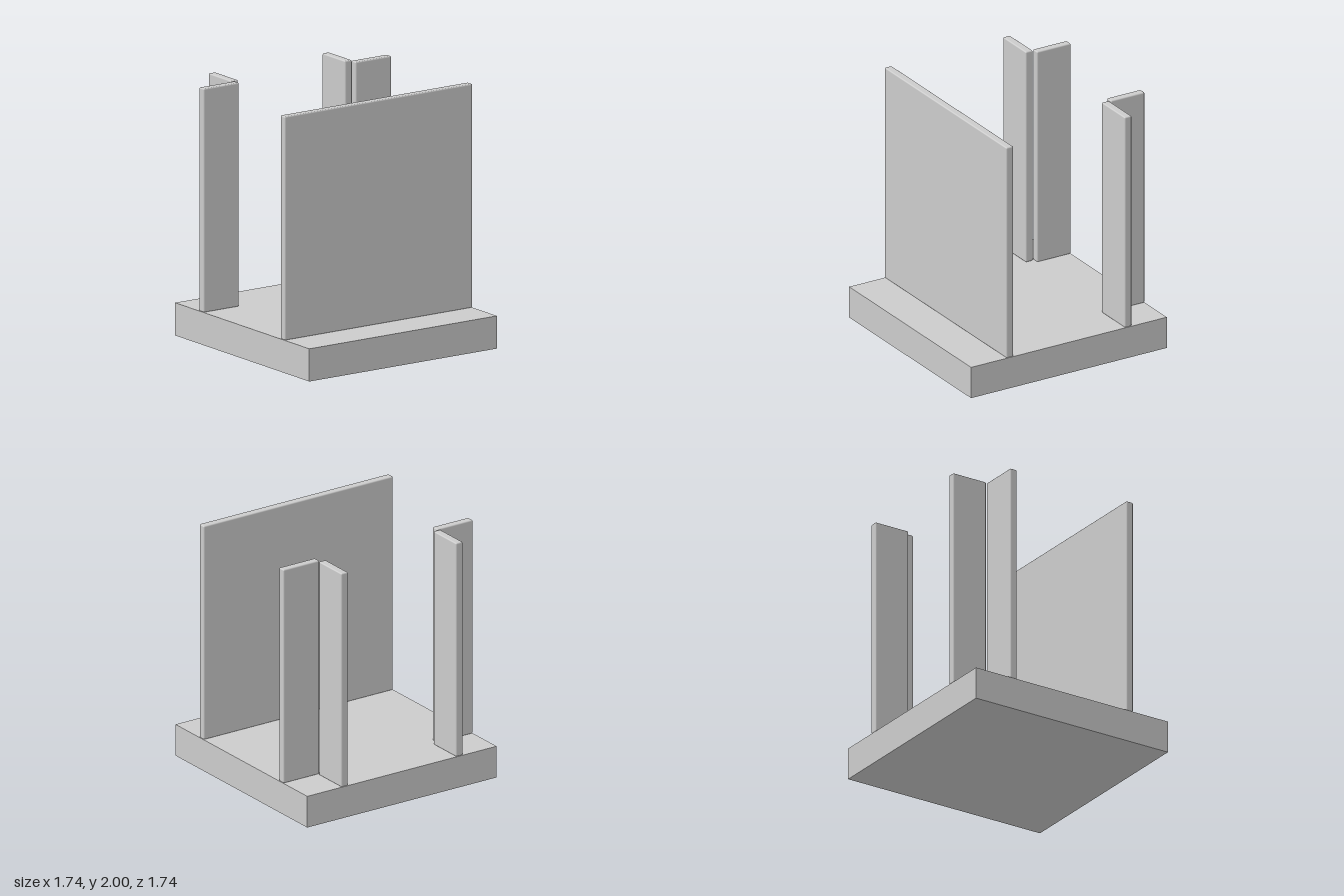
import * as THREE from 'three';
import { RoundedBoxGeometry } from 'three/addons/geometries/RoundedBoxGeometry.js';

const HALF = 0.872;      // half width of the square base
const BASE_TOP = 0.255;
const TOP = 2;
const BEVEL = 0.01;

export function createModel() {
  const model = new THREE.Group();
  model.name = 'slabWithPanels';
  const material = new THREE.MeshStandardMaterial({ color: 0xcccccc });

  // Square base slab
  const base = new THREE.Mesh(new THREE.BoxGeometry(HALF * 2, BASE_TOP, HALF * 2), material);
  base.name = 'base';
  base.position.y = BASE_TOP / 2;
  model.add(base);

  // Upright panel with softly bevelled edges, given by its plan extents
  function addPanel(name, x0, x1, z0, z1) {
    const height = TOP - BASE_TOP;
    const panel = new THREE.Mesh(
      new RoundedBoxGeometry(x1 - x0, height, z1 - z0, 2, BEVEL), material);
    panel.name = name;
    panel.position.set((x0 + x1) / 2, BASE_TOP + height / 2, (z0 + z1) / 2);
    model.add(panel);
  }

  // Full-width wall near the front
  addPanel('frontWall', -HALF, HALF, 0.495, 0.557);

  // Each back corner: one panel across the width, one running to the back edge
  addPanel('leftCrossPanel', 0.541, HALF, -0.56, -0.498);
  addPanel('leftBackPanel', 0.495, 0.557, -HALF, -0.572);
  addPanel('rightCrossPanel', -HALF, -0.543, -0.56, -0.498);
  addPanel('rightBackPanel', -0.562, -0.5, -HALF, -0.572);

  return model;
}
